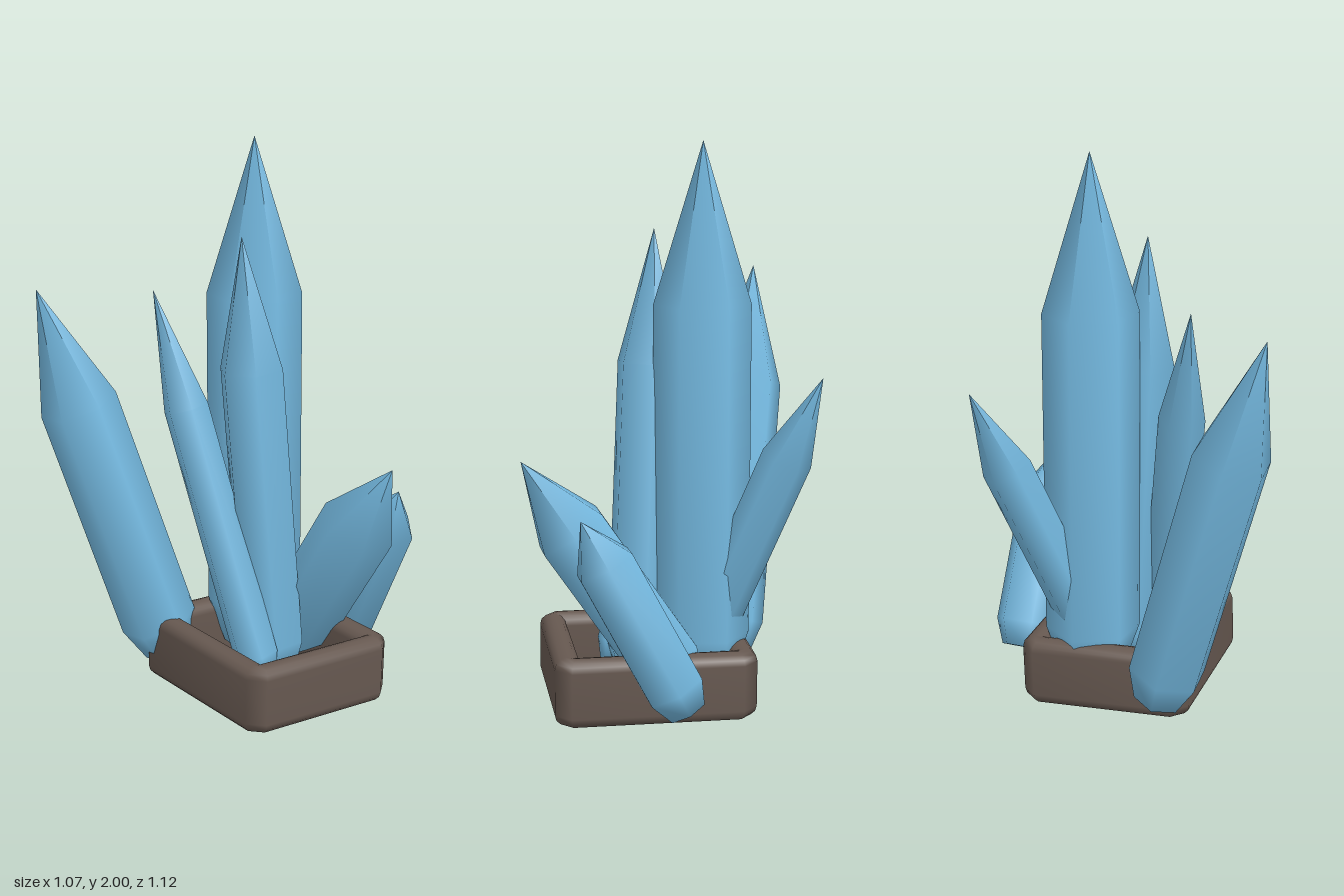
import * as THREE from 'three';
import { mergeVertices } from 'three/addons/utils/BufferGeometryUtils.js';

const crystalBlue = new THREE.MeshStandardMaterial({ color: 0x74b9e0 });
crystalBlue.name = 'crystalBlue';
const stoneBrown = new THREE.MeshStandardMaterial({ color: 0x665850 });
stoneBrown.name = 'stoneBrown';

// Six-sided shard from foot to tip: tapered foot, straight shaft, pointed end
function crystal(name, foot, tip, radius, tipLength, footLength, turnDegrees) {
  const start = new THREE.Vector3(...foot);
  const axis = new THREE.Vector3(...tip).sub(start);
  const length = axis.length();
  const profile = [
    [0, 0], [radius * 0.65, 0], [radius, footLength],
    [radius, length - tipLength], [0, length],
  ].map(([r, y]) => new THREE.Vector2(r, y));
  const geometry = new THREE.LatheGeometry(profile, 6);
  geometry.rotateY(THREE.MathUtils.degToRad(turnDegrees));
  const mesh = new THREE.Mesh(geometry, crystalBlue);
  mesh.name = name;
  mesh.position.copy(start);
  mesh.quaternion.setFromUnitVectors(new THREE.Vector3(0, 1, 0), axis.normalize());
  return mesh;
}

// Rectangle with cut corners, given by half sizes
function cutRectangle(PathType, hx, hy, cut) {
  const path = new PathType();
  path.setFromPoints([
    [hx - cut, -hy], [hx, -hy + cut], [hx, hy - cut], [hx - cut, hy],
    [-hx + cut, hy], [-hx, hy - cut], [-hx, -hy + cut], [-hx + cut, -hy],
  ].map(([x, y]) => new THREE.Vector2(x, y)));
  path.closePath();
  return path;
}

// Open square stone frame with rounded bars
function stoneFrame() {
  const bevel = 0.04, height = 0.245;
  const shape = cutRectangle(THREE.Shape, 0.355 - bevel, 0.31 - bevel, 0.03);
  shape.holes.push(cutRectangle(THREE.Path, 0.262 + bevel, 0.217 + bevel, 0.012));
  let geometry = new THREE.ExtrudeGeometry(shape, {
    depth: height - 2 * bevel, bevelEnabled: true, bevelThickness: bevel,
    bevelSize: bevel, bevelSegments: 3, steps: 1,
  });
  geometry.translate(0, 0, -(height - 2 * bevel) / 2);
  geometry.rotateX(-Math.PI / 2);
  // Weld so the bars shade smoothly
  geometry.deleteAttribute('uv');
  geometry.deleteAttribute('normal');
  geometry = mergeVertices(geometry, 1e-4);
  geometry.computeVertexNormals();
  const mesh = new THREE.Mesh(geometry, stoneBrown);
  mesh.name = 'stoneFrame';
  mesh.position.set(0.067, 0.132, -0.045);
  mesh.rotation.set(-0.03, -0.03, 0);
  return mesh;
}

export function createModel() {
  const group = new THREE.Group();
  group.name = 'crystalCluster';
  group.add(
    stoneFrame(),
    crystal('tallCrystal', [-0.115, 0.1, -0.135], [-0.118, 2, -0.135], 0.17, 0.56, 0.17, 21),
    crystal('centreCrystal', [0.1, 0.08, -0.06], [0.022, 1.69, 0.03], 0.118, 0.47, 0.12, 0),
    crystal('frontRightCrystal', [-0.262, 0.085, 0.15], [-0.46, 1.49, 0.56], 0.14, 0.45, 0.13, 30),
    crystal('slimCrystal', [0.165, 0.11, 0.05], [-0.205, 1.49, 0.243], 0.082, 0.43, 0.08, 10),
    crystal('leftCrystal', [-0.015, 0.13, -0.228], [0.53, 0.93, -0.228], 0.138, 0.3, 0.08, 0),
    crystal('backCrystal', [0.0, 0.09, -0.455], [0.355, 0.76, -0.42], 0.112, 0.17, 0.09, 0),
    crystal('backRightCrystal', [-0.09, 0.12, -0.1], [-0.463, 1.225, -0.457], 0.088, 0.32, 0.09, 15),
  );
  return group;
}
